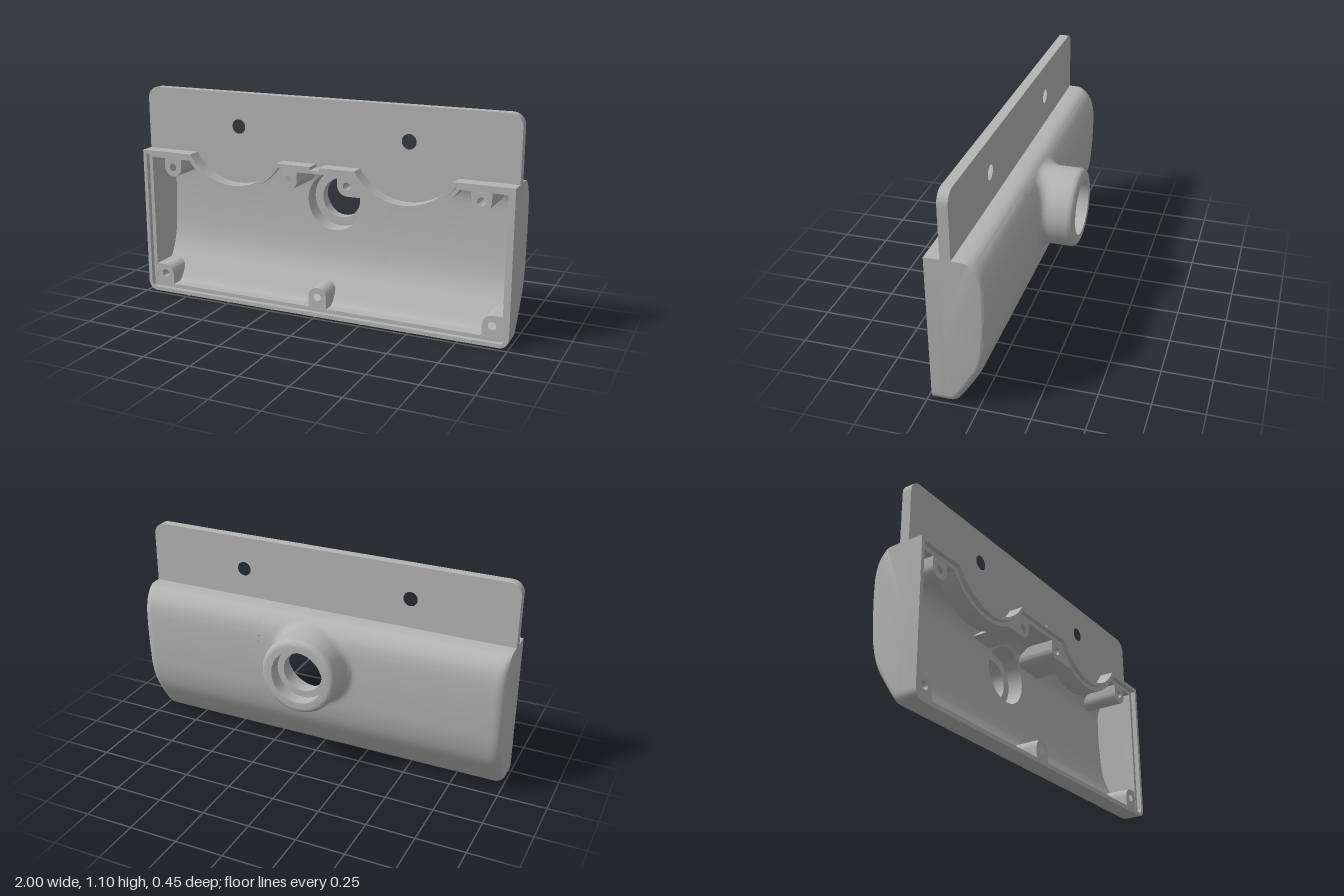
import * as THREE from 'three';
import { toCreasedNormals } from 'three/addons/utils/BufferGeometryUtils.js';

const V2 = (x, y) => new THREE.Vector2(x, y);
const V3 = (x, y, z) => new THREE.Vector3(x, y, z);
const DIP_X = 0.46, DIP_Y = 0.928, DIP_R = 0.293; // round recesses, concentric with the plate holes
const TOP = 0.775, WALL = 0.04, PLATE_Z = 0.15;
const NECK_Y = 0.545;

// Section curves of the back wall as (z, y), from the bottom to the top
const section = (pts) => new THREE.SplineCurve(pts.map(([z, y]) => V2(z, y))).getPoints((pts.length - 1) * 6);
const outer = section([[0.15, 0], [0.125, 0.003], [0.095, 0.025], [0.045, 0.1], [-0.012, 0.2], [-0.04, 0.3],
  [-0.05, 0.4], [-0.055, 0.5], [-0.056, 0.6], [-0.052, 0.66], [-0.036, 0.715], [0, 0.758], [0.045, 0.774], [0.15, TOP]]);
const inner = section([[0.15, 0.04], [0.135, 0.044], [0.115, 0.06], [0.077, 0.12], [0.025, 0.21], [0, 0.3],
  [-0.01, 0.4], [-0.015, 0.5], [-0.016, 0.6], [-0.012, 0.655], [0.005, 0.7], [0.035, 0.726], [0.07, 0.735], [0.15, 0.735]]);

// Depth of a section curve at height y
function depthAt(curve, y) {
  for (let k = 0; k < curve.length - 1; k++) {
    const a = curve[k], b = curve[k + 1];
    if (y >= a.y && y < b.y) return a.x + (b.x - a.x) * (y - a.y) / (b.y - a.y);
  }
  return y < 0.3 ? 0.13 : 0.07;
}
const indexAt = (curve, y) => curve.findIndex((p) => p.y >= y);

// Surface through rows of points
function skin(rows, flip, skip = () => false) {
  const pos = [], t = new THREE.Triangle();
  const tri = (a, b, c) => {
    t.set(a, flip ? c : b, flip ? b : c);
    if (t.getArea() > 1e-9) for (const p of [t.a, t.b, t.c]) pos.push(p.x, p.y, p.z);
  };
  for (let i = 0; i < rows.length - 1; i++) {
    for (let j = 0; j < rows[i].length - 1; j++) {
      if (skip(rows[i], rows[i + 1], j)) continue;
      const [a, b, c, d] = [rows[i][j], rows[i][j + 1], rows[i + 1][j], rows[i + 1][j + 1]];
      tri(a, b, c);
      tri(b, d, c);
    }
  }
  const g = new THREE.BufferGeometry();
  g.setAttribute('position', new THREE.Float32BufferAttribute(pos, 3));
  return toCreasedNormals(g, 0.6);
}

// Lengthwise shell with closed ends and a rectangular gap for the neck
function shell(curve, halfX, round, gap, flip) {
  const row = (x, k) => curve.map((p, j) => {
    const a = curve[Math.max(0, j - 1)], b = curve[Math.min(curve.length - 1, j + 1)];
    const t = b.clone().sub(a).normalize();
    return V3(x, p.y + round * k * Math.max(0, -t.x), p.x + 0.6 * round * k * Math.max(0, t.y));
  });
  const right = [curve.map(() => V3(halfX, 0.4, PLATE_Z))];
  const steps = round ? 8 : 0;
  for (let i = 0; i <= steps; i++) {
    const a = steps ? (i / steps) * Math.PI / 2 : Math.PI / 2;
    right.push(row(halfX - round * (1 - Math.cos(a)), 1 - Math.sin(a)));
  }
  right.push(row(gap.x, 0));
  const left = right.map((r) => r.map((p) => V3(-p.x, p.y, p.z)));
  return skin([...left, ...right.reverse()], flip,
    (r0, r1, j) => r0[j].x < 0 && r1[j].x > 0 && j >= gap.lo && j < gap.hi);
}
const gapOf = (curve, lo, hi) => ({ x: 0.3, lo: indexAt(curve, lo), hi: indexAt(curve, hi) });

// Neck with filleted root, stepped bore and the wall around it, as rings
function neck(gapOut, gapIn) {
  const reach = (curve, gap, a) => {
    const c = Math.abs(Math.cos(a)), s = Math.sin(a);
    const h = s > 0 ? curve[gap.hi].y - NECK_Y : NECK_Y - curve[gap.lo].y;
    return Math.min(gap.x / Math.max(c, 1e-6), h / Math.max(Math.abs(s), 1e-6));
  };
  const angles = Array.from({ length: 96 }, (_, i) => -Math.PI + i * Math.PI / 48);
  for (const [curve, gap] of [[outer, gapOut], [inner, gapIn]]) {
    for (const j of [gap.lo, gap.hi]) for (const x of [-gap.x, gap.x]) angles.push(Math.atan2(curve[j].y - NECK_Y, x));
  }
  angles.sort((a, b) => a - b);
  angles.push(angles[0] + 2 * Math.PI);
  const columns = angles.map((a) => {
    const at = (r, z) => V3(r * Math.cos(a), NECK_Y + r * Math.sin(a), z);
    const on = (curve, r) => at(r, depthAt(curve, NECK_Y + r * Math.sin(a)));
    const d = reach(outer, gapOut, a), root = Math.min(0.25, d * 0.995), e = reach(inner, gapIn, a);
    const pts = [];
    for (let i = 0; i < 6; i++) pts.push(on(outer, d + (root - d) * i / 6));
    const base = on(outer, 0.2);
    const fillet = new THREE.QuadraticBezierCurve3(on(outer, root), base, at(0.2, base.z - 0.05));
    pts.push(...fillet.getPoints(8));
    for (let i = 0; i <= 6; i++) {
      const b = (i / 6) * Math.PI / 2;
      pts.push(at(0.17 + 0.03 * Math.cos(b), -0.195 - 0.03 * Math.sin(b)));
    }
    pts.push(at(0.14, -0.225), at(0.14, -0.155), at(0.105, -0.155), at(0.105, -0.1), at(0.15, -0.1));
    for (let i = 0; i <= 6; i++) pts.push(on(inner, 0.15 + (e - 0.15) * i / 6));
    return pts;
  });
  return skin(columns[0].map((_, i) => columns.map((c) => c[i])), true);
}

// Points of a recess arc, from its +x end to its -x end
function dip(cx, r, y) {
  const a = Math.asin((DIP_Y - y) / r), n = 32;
  return Array.from({ length: n + 1 }, (_, i) => {
    const b = -a - (Math.PI - 2 * a) * i / n;
    return V2(cx + r * Math.cos(b), DIP_Y + r * Math.sin(b));
  });
}

// Front outline of the case, moved inwards by t
function outline(t, notch) {
  const pts = [], r = Math.max(0.05 - t, 0.012), y = TOP - t;
  for (const s of [-1, 1]) {
    for (let i = 0; i <= 8; i++) {
      const a = (s < 0 ? Math.PI : 1.5 * Math.PI) + (i / 8) * Math.PI / 2;
      pts.push(V2(s * (1 - t - r) + r * Math.cos(a), t + r + r * Math.sin(a)));
    }
  }
  pts.push(V2(1 - t, y), ...dip(DIP_X, DIP_R + t, y));
  if (notch) pts.push(V2(0.025, y), V2(0.025, y - 0.016), V2(-0.025, y - 0.016), V2(-0.025, y));
  pts.push(...dip(-DIP_X, DIP_R + t, y), V2(-1 + t, y));
  return pts;
}

function extrude(shape, z0, z1) {
  const g = new THREE.ExtrudeGeometry(shape, { depth: z1 - z0, bevelEnabled: false, curveSegments: 24 });
  return toCreasedNormals(g.translate(0, 0, z0), 0.5);
}
function frame(t, z0, z1) {
  const s = new THREE.Shape(outline(0, true));
  s.holes.push(new THREE.Path(outline(t, false)));
  return extrude(s, z0, z1);
}
function addHole(shape, x, y, r) {
  shape.holes.push(new THREE.Path().absarc(x, y, r, 0, Math.PI * 2, true));
}

// Screw boss rounded towards d (1 up, -1 down); far gives the x ends of a boss that runs into a side wall
function boss(side, x, y, flatY, d, far) {
  const pts = [V2(x - 0.05, flatY)], end = far ? Math.PI / 2 : Math.PI;
  for (let i = 0; i <= 12; i++) {
    const a = Math.PI - end * i / 12;
    pts.push(V2(x + 0.05 * Math.cos(a), y + d * 0.05 * Math.sin(a)));
  }
  if (far) pts.push(V2(far[0], y + d * 0.05), V2(far[1], flatY));
  else pts.push(V2(x + 0.05, flatY));
  const shape = new THREE.Shape(pts.map((p) => V2(side * p.x, p.y)));
  addHole(shape, side * x, y, 0.02);
  const g = extrude(shape, 0, 0.198), p = g.attributes.position;
  // the back end follows the curved wall
  for (let i = 0; i < p.count; i++) if (p.getZ(i) < 0.01) p.setZ(i, depthAt(inner, p.getY(i)) - 0.01);
  return g;
}

export function createModel() {
  const group = new THREE.Group();
  const grey = new THREE.MeshStandardMaterial({ color: 0xb4b4b4 });
  grey.name = 'grey plastic';
  const add = (name, geometry) => {
    const m = new THREE.Mesh(geometry, grey);
    m.name = name;
    group.add(m);
  };

  // Case
  const gapOut = gapOf(outer, 0.24, 0.752), gapIn = gapOf(inner, 0.24, 0.715);
  add('outerShell', shell(outer, 1, 0.05, gapOut, false));
  add('innerShell', shell(inner, 1 - WALL, 0, gapIn, true));
  add('neck', neck(gapOut, gapIn));
  add('frontWall', frame(WALL, PLATE_Z, 0.2));
  add('frontLip', frame(WALL / 2, 0.2, 0.225));

  // Mounting plate
  const low = 0.745, r = DIP_R + WALL;
  const plate = new THREE.Shape([V2(1, low), ...dip(DIP_X, r, low), ...dip(-DIP_X, r, low), V2(-1, low)]);
  plate.lineTo(-1, 1.04);
  plate.absarc(-0.94, 1.04, 0.06, Math.PI, Math.PI / 2, true);
  plate.absarc(0.94, 1.04, 0.06, Math.PI / 2, 0, true);
  for (const s of [-1, 1]) addHole(plate, s * DIP_X, DIP_Y, 0.037);
  add('mountingPlate', extrude(plate, 0.1, PLATE_Z));

  // Screw bosses
  for (const s of [-1, 1]) {
    add('upperOuterBoss', boss(s, 0.835, 0.69, 0.74, -1));
    add('upperInnerBoss', boss(s, 0.16, 0.69, 0.74, -1, [0.3, 0.19]));
    add('lowerCornerBoss', boss(s, 0.91, 0.095, 0.04, 1, [0.965, 0.965]));
  }
  add('lowerMiddleBoss', boss(1, 0, 0.095, 0.04, 1));
  return group;
}
